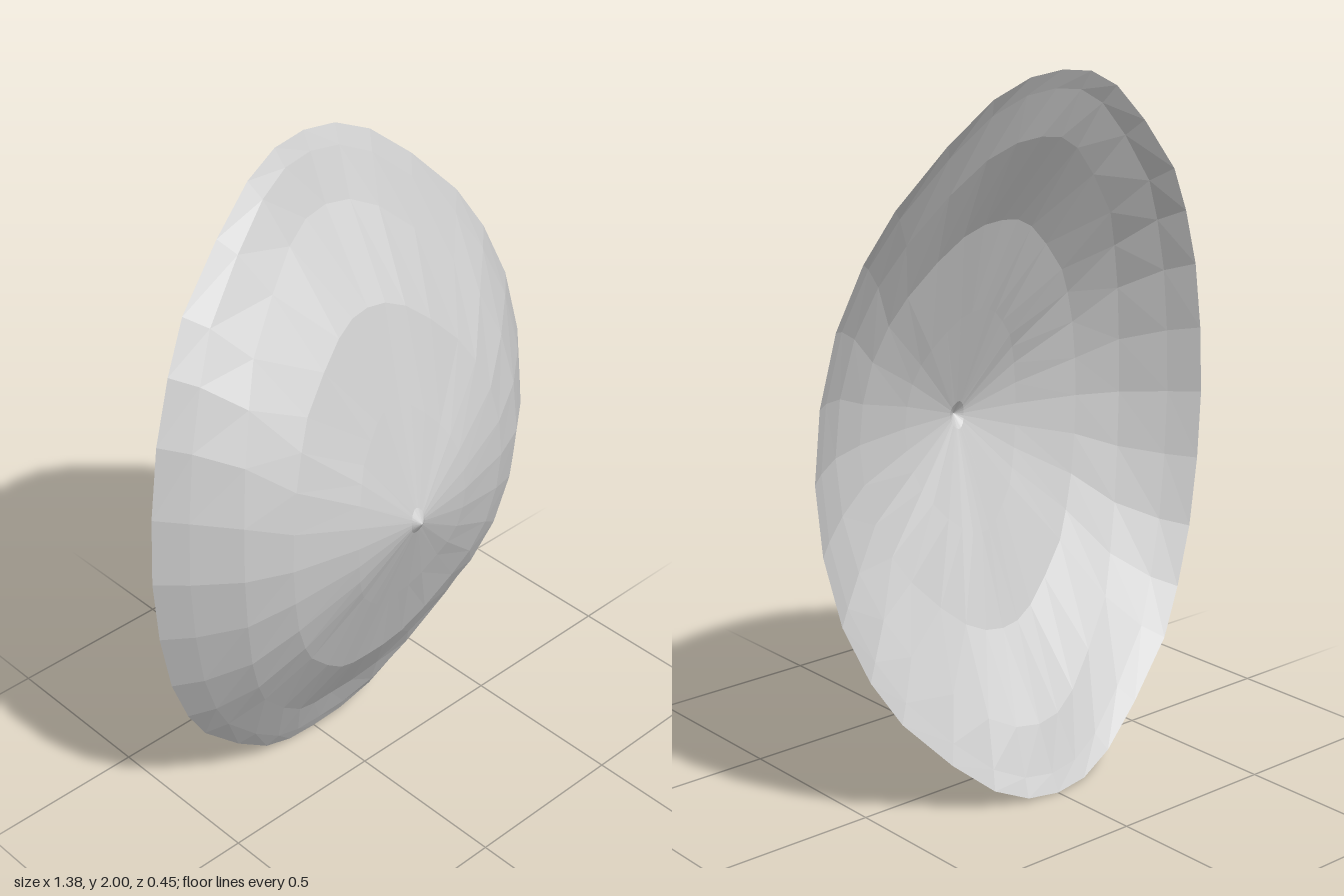
import * as THREE from 'three';

// Rim of one quadrant, as fractions of the half width and half height
const RIM = [[1, 0], [0.977, 0.195], [0.915, 0.39], [0.815, 0.555], [0.7, 0.685],
  [0.49, 0.835], [0.305, 0.94], [0.15, 0.988], [0, 1]];

// Rings from the boss outwards: half width, depth at the sides, half height, depth at top and bottom
const RINGS = [
  [0.025, 0.208, 0.04, 0.198],
  [0.20, 0.188, 0.32, 0.10],
  [0.39, 0.142, 0.58, 0.01],
  [0.51, 0.088, 0.82, -0.145],
  [0.62, 0.0, 0.95, -0.2],
  [0.69, -0.068, 1.0, -0.225],
];

// Unit outline all the way round, counter-clockwise, with its depth blend
function outline() {
  const pts = [];
  for (let i = 0; i < 32; i++) {
    const quadrant = Math.floor(i / 8), step = i % 8;
    const [u, v] = RIM[quadrant % 2 ? 8 - step : step];
    pts.push({
      u: quadrant === 1 || quadrant === 2 ? -u : u,
      v: quadrant >= 2 ? -v : v,
      blend: Math.sin(i * Math.PI / 16) ** 2,
    });
  }
  return pts;
}

export function createModel() {
  const group = new THREE.Group();
  const pts = outline(), n = pts.length;

  // Pointed centre followed by the rings
  const positions = [0, 1, 0.224], index = [];
  for (const [w, zSide, h, zEnd] of RINGS) {
    for (const p of pts) {
      positions.push(p.u * w, 1 + p.v * h, THREE.MathUtils.lerp(zSide, zEnd, p.blend));
    }
  }

  // Fan at the centre, then bands out to the rim
  for (let i = 0; i < n; i++) {
    const j = (i + 1) % n;
    index.push(0, 1 + i, 1 + j);
    for (let r = 0; r < RINGS.length - 1; r++) {
      const a = 1 + r * n + i, b = 1 + r * n + j;
      index.push(a, a + n, b + n, a, b + n, b);
    }
  }

  const geometry = new THREE.BufferGeometry();
  geometry.setAttribute('position', new THREE.Float32BufferAttribute(positions, 3));
  geometry.setIndex(index);
  geometry.computeVertexNormals();

  const shell = new THREE.Mesh(geometry, new THREE.MeshStandardMaterial({
    color: 0xcccccc, flatShading: true, side: THREE.DoubleSide,
  }));
  shell.name = 'shieldShell';
  group.add(shell);
  return group;
}
